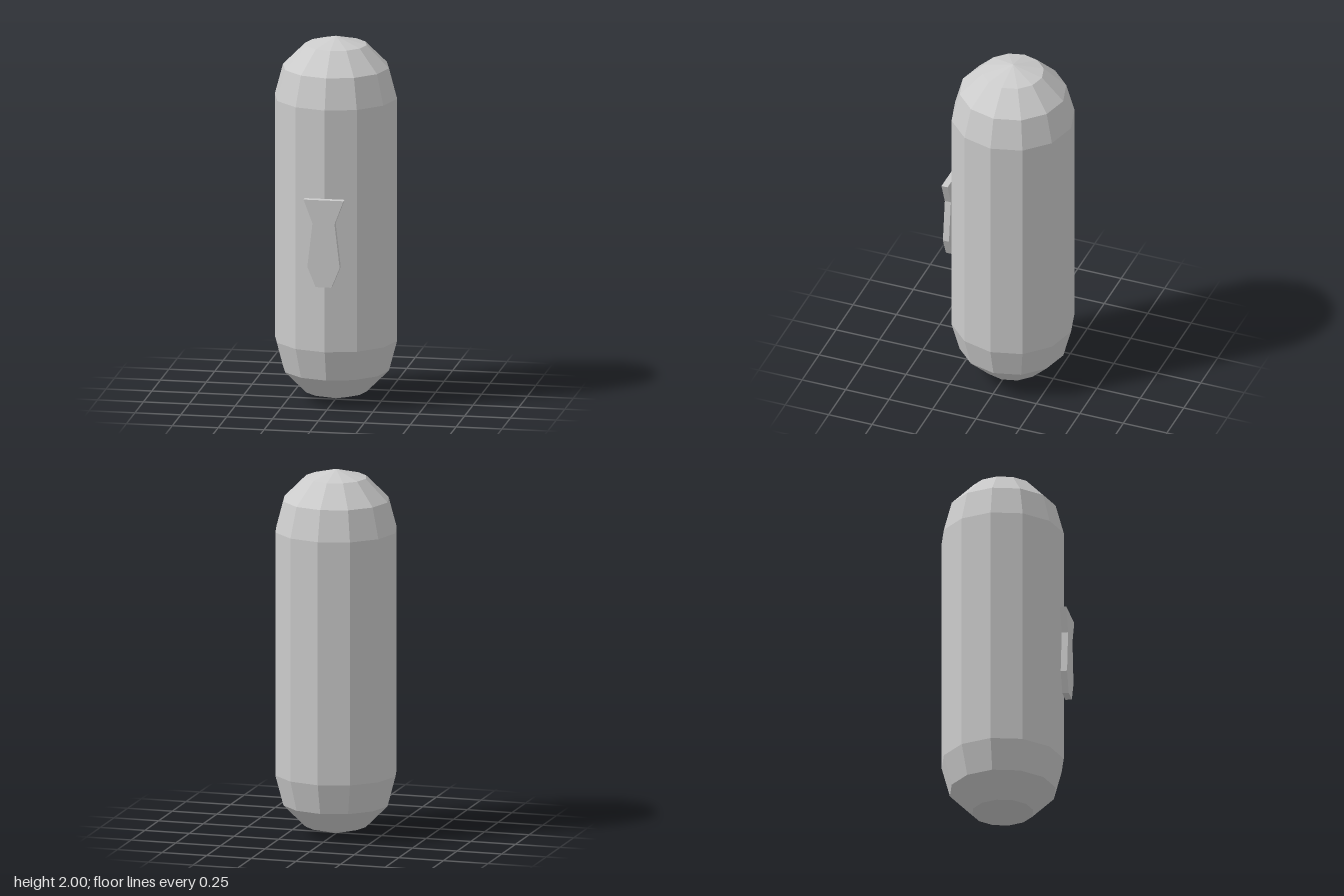
import * as THREE from 'three';

export function createModel() {
  const model = new THREE.Group();
  const material = new THREE.MeshStandardMaterial({ color: 0xcccccc, flatShading: true });

  // Faceted capsule body: 12 sides, three rings per rounded end
  const radius = 1 / 3;
  const body = new THREE.Mesh(new THREE.CapsuleGeometry(radius, 2 - 2 * radius, 3, 12), material);
  body.name = 'body';
  body.position.set(0, 1, -0.018);
  model.add(body);

  // Necktie plate: half outline [half width, height], mirrored across x = 0
  const half = [[0.109, 1.18], [0.06, 1.05], [0.088, 0.81], [0.043, 0.7]];
  const outline = [
    ...half.map(([x, y]) => new THREE.Vector2(-x, y)),
    ...half.slice().reverse().map(([x, y]) => new THREE.Vector2(x, y)),
  ];
  const tie = new THREE.Mesh(
    new THREE.ExtrudeGeometry(new THREE.Shape(outline), { depth: 0.035, bevelEnabled: false }),
    material
  );
  tie.name = 'necktie';
  tie.position.z = 0.316;
  model.add(tie);

  return model;
}
